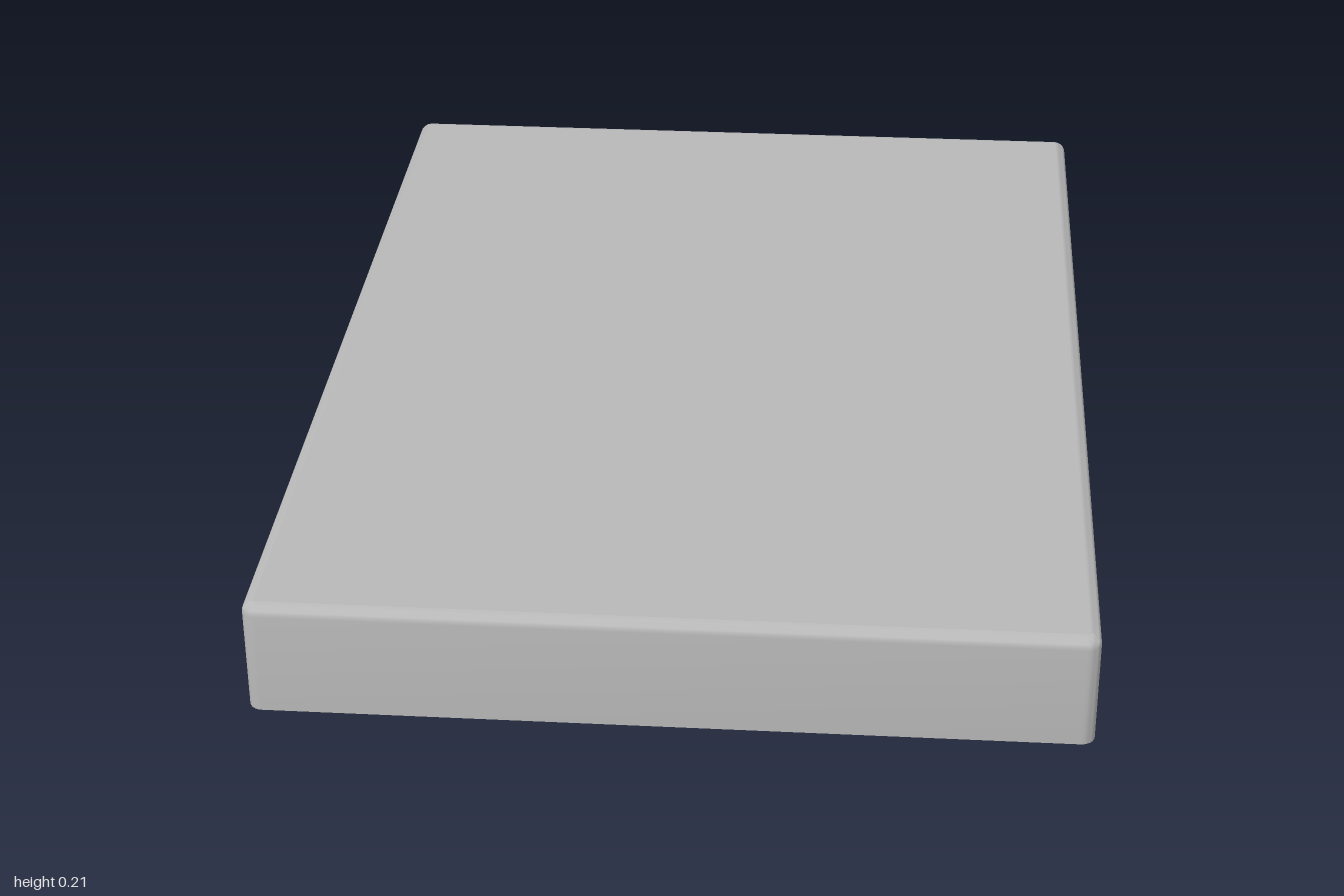
import * as THREE from 'three';
import { mergeGeometries, toCreasedNormals } from 'three/addons/utils/BufferGeometryUtils.js';

const HX = 0.725, HZ = 1, H = 0.21;       // half width, half length, height
const WALL = 0.02, CEIL = 0.133;          // rim thickness, underside level
const FILLET = 0.02, CORNER = 0.025;
const PITCH = 0.18, HEX = 0.075, DEPTH = 0.05;

// Rounded rectangle outline, pulled in by an inset
function outline(inset) {
  const r = Math.max(CORNER - inset, 0.004), pts = [];
  const cx = HX - inset - r, cz = HZ - inset - r;
  [[1, 1], [-1, 1], [-1, -1], [1, -1]].forEach(([sx, sz], q) => {
    for (let i = 0; i <= 6; i++) {
      const a = (q + i / 6) * Math.PI / 2;
      pts.push(new THREE.Vector2(sx * cx + r * Math.cos(a), sz * cz + r * Math.sin(a)));
    }
  });
  return pts;
}

// Skin through outlines given as [inset, y]
function skin(levels) {
  const pos = [], index = [], n = outline(0).length;
  for (const [inset, y] of levels) for (const p of outline(inset)) pos.push(p.x, y, p.y);
  for (let i = 0; i < levels.length - 1; i++) {
    for (let j = 0; j < n; j++) {
      const a = i * n + j, c = i * n + (j + 1) % n;
      index.push(a, a + n, c, c, a + n, c + n);
    }
  }
  const g = new THREE.BufferGeometry();
  g.setAttribute('position', new THREE.Float32BufferAttribute(pos, 3));
  g.setIndex(index);
  return toCreasedNormals(g, 0.6);
}

export function createModel() {
  const group = new THREE.Group();
  const grey = new THREE.MeshStandardMaterial({ color: 0xb8b8b8 });
  grey.name = 'grey';
  const add = (name, geometry) => {
    const mesh = new THREE.Mesh(geometry, grey);
    mesh.name = name;
    group.add(mesh);
    return mesh;
  };

  // Side walls: inside, rim, outside and the rounded top edge
  const levels = [[WALL, CEIL], [WALL, 0], [0, 0]];
  for (let i = 0; i <= 6; i++) {
    const a = i / 6 * Math.PI / 2;
    levels.push([FILLET * (1 - Math.cos(a)), H - FILLET + FILLET * Math.sin(a)]);
  }
  add('walls', skin(levels));

  // Flat top
  add('top', new THREE.ShapeGeometry(new THREE.Shape(outline(FILLET)))
    .rotateX(-Math.PI / 2).translate(0, H, 0));

  // Honeycomb centres, in staggered columns
  const cells = [];
  for (let c = 0; c < 8; c++) {
    for (let r = 0; r < 9; r++) {
      cells.push([(c - 3.5) * PITCH * Math.sqrt(3) / 2,
        (r - 4) * PITCH + (c % 2 ? -1 : 1) * PITCH / 4]);
    }
  }

  // Underside with hexagonal openings
  const under = new THREE.Shape(outline(WALL));
  for (const [x, z] of cells) {
    const pts = [];
    for (let k = 0; k < 6; k++) {
      const a = -k * Math.PI / 3;
      pts.push(new THREE.Vector2(x + HEX * Math.cos(a), z + HEX * Math.sin(a)));
    }
    under.holes.push(new THREE.Path(pts));
  }
  add('underside', new THREE.ShapeGeometry(under).rotateX(Math.PI / 2).translate(0, CEIL, 0));

  // Pocket sides (turned inward) and pocket floors
  const side = new THREE.CylinderGeometry(HEX, HEX, DEPTH, 6, 1, true, Math.PI / 2)
    .scale(-1, 1, 1).toNonIndexed();
  side.computeVertexNormals();
  // Mirroring reverses the winding, so the faces look into the pocket
  const floor = new THREE.CircleGeometry(HEX, 6).rotateX(Math.PI / 2);
  add('pocketSides', mergeGeometries(cells.map(([x, z]) =>
    side.clone().translate(x, CEIL + DEPTH / 2, z))));
  add('pocketFloors', mergeGeometries(cells.map(([x, z]) =>
    floor.clone().translate(x, CEIL + DEPTH, z))));

  // Small snap bumps inside the long walls
  for (const sx of [-1, 1]) {
    for (const sz of [-1, 1]) {
      add('snapBump', new THREE.SphereGeometry(0.02, 16, 12))
        .position.set(sx * (HX - WALL), 0.066, sz * 0.585);
    }
  }
  return group;
}
